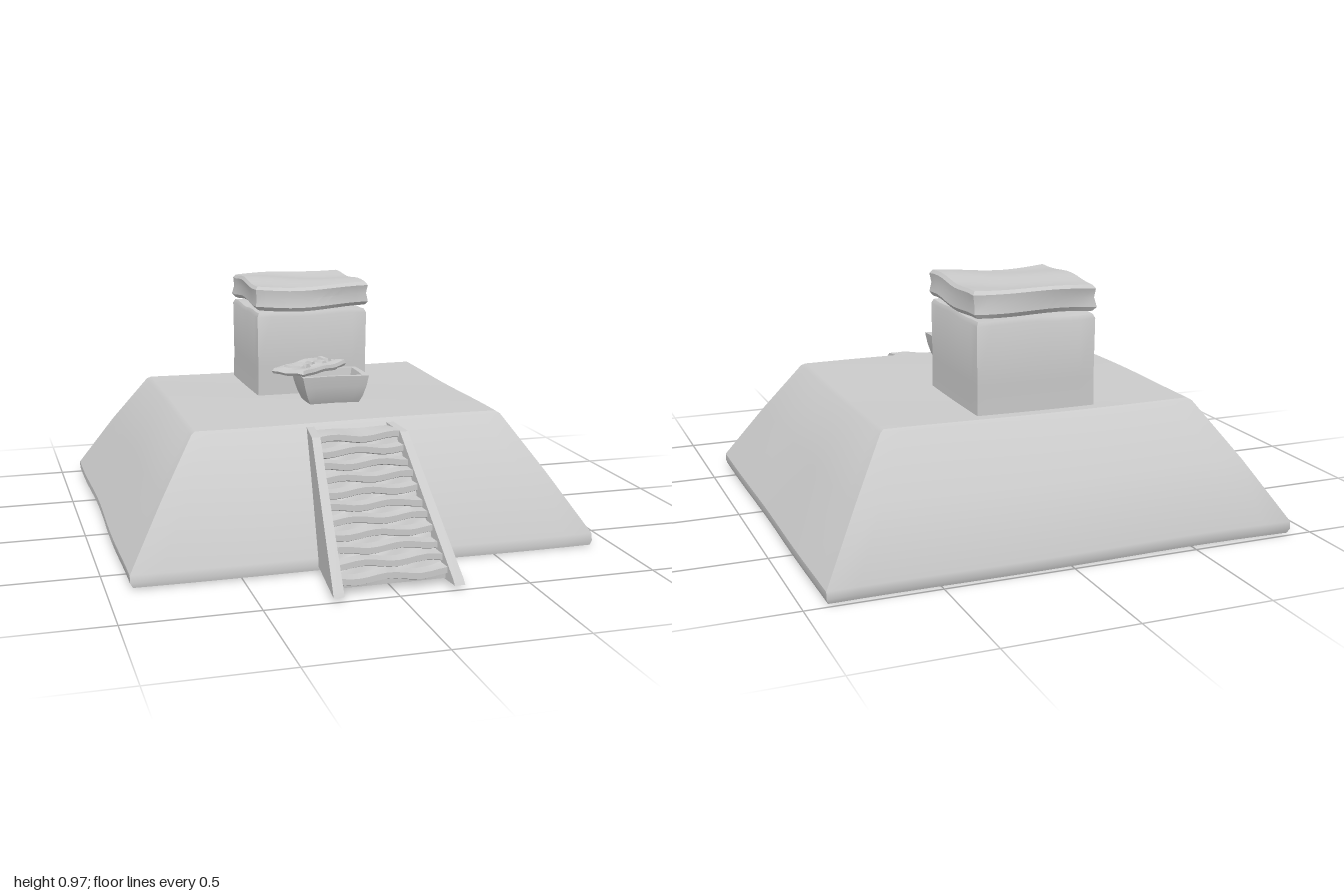
import * as THREE from 'three';
import { toCreasedNormals } from 'three/addons/utils/BufferGeometryUtils.js';

const material = new THREE.MeshStandardMaterial({ color: 0xcccccc });
const lerp = THREE.MathUtils.lerp;

// Smooth hand-cut unevenness
const ripple = (a, b) => (Math.sin(a * 9 + b * 4) + Math.sin(b * 13 - a * 5 + 1.3)) / 2;

function makeMesh(name, geometry, crease = 0.5) {
  const m = new THREE.Mesh(toCreasedNormals(geometry, crease), material);
  m.name = name;
  return m;
}

function warp(geometry, fn) {
  const p = geometry.attributes.position, v = new THREE.Vector3();
  for (let i = 0; i < p.count; i++) {
    v.fromBufferAttribute(p, i);
    fn(v);
    p.setXYZ(i, v.x, v.y, v.z);
  }
  return geometry;
}

// Block lofted through rectangular rings [x0, x1, z0, z1, y], bottom to top
function block(name, rings, segs = 8, bend = null, crease = 0.5) {
  const n = rings.length - 1;
  const g = warp(new THREE.BoxGeometry(1, 1, 1, segs, n, segs), v => {
    const [x0, x1, z0, z1, y] = rings[Math.round((v.y + 0.5) * n)];
    v.set(lerp(x0, x1, v.x + 0.5), y, lerp(z0, z1, v.z + 0.5));
    if (bend) bend(v);
  });
  return makeMesh(name, g, crease);
}

// Side profile of [z, y] points spread between two x limits that depend on z
function stairPart(name, points, xa, xb, steps, bend) {
  const shape = new THREE.Shape(points.map(([z, y]) => new THREE.Vector2(z, y)));
  const g = new THREE.ExtrudeGeometry(shape, { depth: 1, steps, bevelEnabled: false });
  g.rotateY(-Math.PI / 2);
  warp(g, v => {
    v.x = lerp(xa(v.z), xb(v.z), v.x + 1);
    if (bend) bend(v);
  });
  return makeMesh(name, g);
}

function createStairs() {
  const stairs = new THREE.Group();
  stairs.name = 'stairs';
  const inner = z => 0.152 + (z - 0.45) * 0.1;
  const outer = z => 0.178 + (z - 0.4) * 0.115;

  // Sloping side walls
  const side = [[0.38, 0.03], [1, 0.025], [0.985, 0.045], [0.52, 0.485], [0.38, 0.495]];
  stairs.add(stairPart('leftStairWall', side, inner, outer, 1));
  stairs.add(stairPart('rightStairWall', side, z => -outer(z), z => -inner(z), 1));

  // Treads with undercut risers
  const count = 11, profile = [[0.38, 0.03], [0.925, 0.03]];
  for (let i = 0; i < count; i++) {
    const z = 0.94 - i * 0.043, y = 0.03 + i * 0.041;
    profile.push([z - 0.014, y + 0.012], [z, y + 0.018], [z, y + 0.041], [z - 0.05, y + 0.043]);
  }
  profile.push([0.38, 0.482]);
  stairs.add(stairPart('steps', profile, z => -inner(z) - 0.005, z => inner(z) + 0.005, 12, v => {
    if (v.y > 0.035 && v.z > 0.45) v.y += 0.007 * Math.sin(v.x * 26 + Math.floor(v.y / 0.041) * 2.1);
  }));
  return stairs;
}

function createBasin() {
  const basin = new THREE.Group();
  basin.name = 'basin';

  // Hollow tub: up the outside, over the rim, down the inside
  basin.add(block('tub', [
    [-0.098, 0.108, 0.02, 0.155, 0.53],
    [-0.112, 0.12, 0.008, 0.17, 0.56],
    [-0.125, 0.132, 0.002, 0.18, 0.6],
    [-0.135, 0.14, 0, 0.187, 0.645],
    [-0.11, 0.117, 0.022, 0.165, 0.645],
    [-0.09, 0.1, 0.035, 0.145, 0.555],
  ], 6, v => { v.y += 0.003 * ripple(v.x * 3, v.z * 2); }));

  // Lid lying askew, with worn relief
  const lid = new THREE.Group();
  lid.name = 'lid';
  lid.position.set(-0.063, 0.645, 0.02);
  lid.rotation.set(0, 0.68, 0);
  lid.add(block('lidSlab', [
    [-0.145, 0.145, -0.075, 0.075, 0],
    [-0.152, 0.15, -0.08, 0.079, 0.011],
    [-0.143, 0.144, -0.073, 0.073, 0.024],
  ], 12, v => { v.y += 0.004 * ripple(v.x * 5, v.z * 5); }, 0.7));
  for (let i = 0; i < 5; i++) {
    const x = -0.105 + i * 0.052, w = 0.013 + 0.005 * (i % 2), d = 0.045 - 0.012 * (i % 3);
    lid.add(block('reliefRidge', [
      [x - w, x + w, -d, d, 0.02],
      [x - w * 0.6, x + w * 0.6, -d * 0.85, d * 0.85, 0.035],
    ], 4, v => { v.x += 0.006 * Math.sin(v.z * 60 + i); v.y += 0.003 * ripple(v.x * 8, v.z * 8); }));
  }
  basin.add(lid);
  return basin;
}

export function createModel() {
  const model = new THREE.Group();
  model.name = 'steppedShrine';

  // Sloping platform with a thin foot edge and softened top edge
  model.add(block('platform', [
    [-0.905, 0.91, -0.985, 0.672, 0.012],
    [-0.915, 0.917, -0.992, 0.675, 0.03],
    [-0.915, 0.917, -0.99, 0.668, 0.058],
    [-0.77, 0.772, -0.86, 0.53, 0.287],
    [-0.628, 0.63, -0.712, 0.388, 0.497],
    [-0.612, 0.615, -0.7, 0.372, 0.507],
  ], 16, v => {
    const r = ripple(v.x * 0.5, v.z * 0.5);
    v.y += 0.005 * r;
    if (v.y < 0.3) { v.x += 0.006 * r; v.z += 0.004 * r; }
  }));

  // Shrine body
  model.add(block('shrineBody', [
    [-0.237, 0.238, -0.652, -0.17, 0.49],
    [-0.234, 0.237, -0.65, -0.172, 0.62],
    [-0.236, 0.24, -0.65, -0.17, 0.84],
    [-0.228, 0.232, -0.642, -0.178, 0.856],
  ], 8, v => { if (v.y > 0.8) v.y += 0.006 * ripple(v.x * 2, v.z * 2); }));

  // Uneven roof slab
  model.add(block('roofSlab', [
    [-0.225, 0.24, -0.645, -0.182, 0.868],
    [-0.24, 0.252, -0.655, -0.17, 0.884],
    [-0.234, 0.246, -0.65, -0.176, 0.92],
    [-0.238, 0.25, -0.657, -0.17, 0.955],
    [-0.228, 0.24, -0.645, -0.182, 0.968],
  ], 10, v => {
    const r = ripple(v.x * 1.3, v.z * 1.3);
    v.y += 0.011 * r;
    v.x += 0.005 * Math.sin(v.z * 8 + v.y * 20);
    v.z += 0.005 * Math.sin(v.x * 9 + v.y * 25);
  }));

  model.add(createStairs(), createBasin());
  return model;
}
